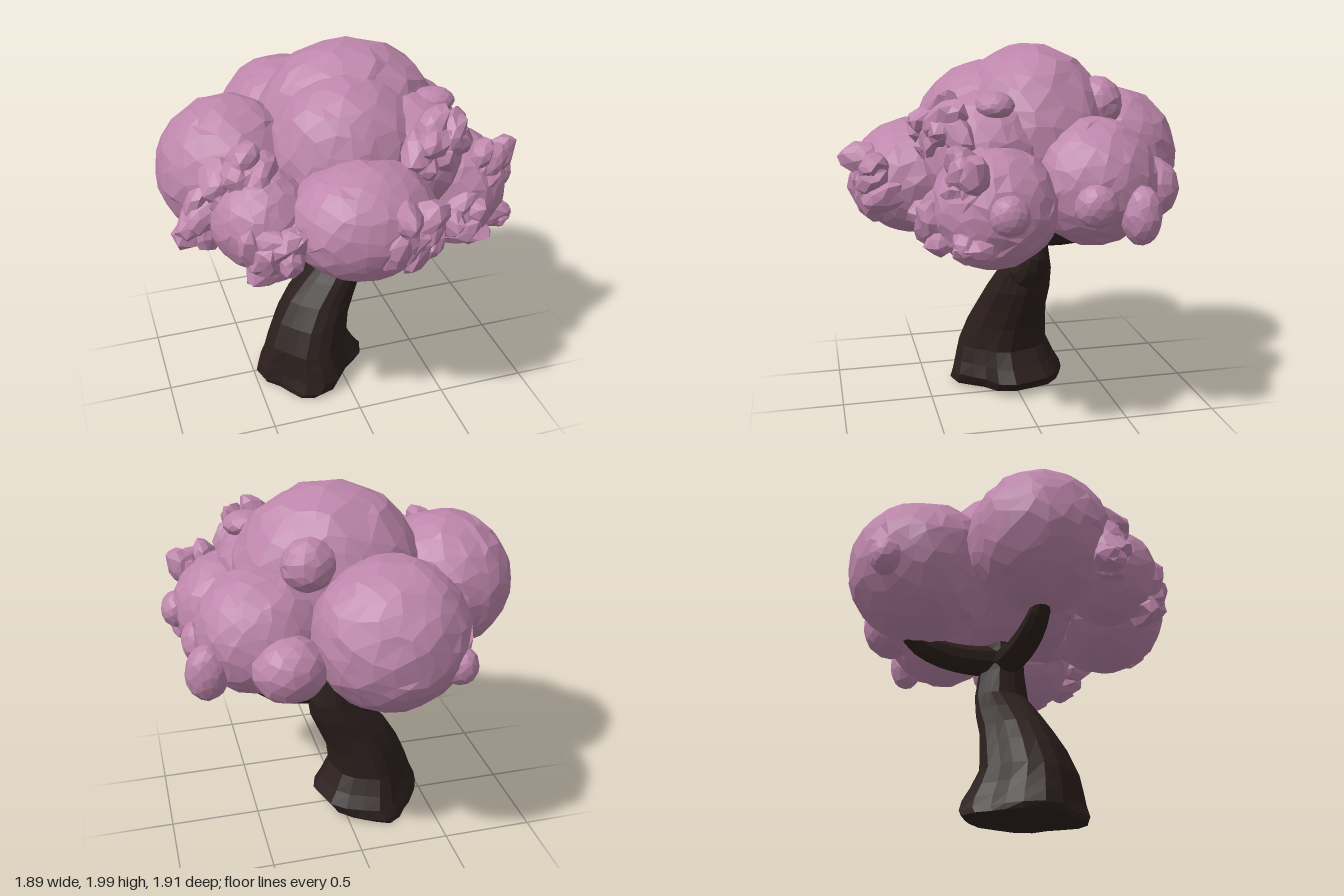
import * as THREE from 'three';

const foliage = new THREE.MeshStandardMaterial({ color: 0xbd86ab, flatShading: true });
foliage.name = 'pink foliage';
const bark = new THREE.MeshStandardMaterial({ color: 0x2b1f1d, flatShading: true });
bark.name = 'dark bark';

// Repeatable noise in -1..1 from a position, so shared corners move together
function noise(x, y, z, seed) {
  const r = (v) => Math.round(v * 1000) / 1000 + 0;
  const s = Math.sin(r(x) * 127.1 + r(y) * 311.7 + r(z) * 74.7 + seed * 19.19) * 4375.85;
  return (s - Math.floor(s)) * 2 - 1;
}

// Faceted ball with irregular corners
function blob(name, [x, y, z], [rx, ry, rz], detail, jitter, seed) {
  const geo = new THREE.IcosahedronGeometry(1, detail);
  const pos = geo.attributes.position;
  const v = new THREE.Vector3();
  for (let i = 0; i < pos.count; i++) {
    v.fromBufferAttribute(pos, i);
    const n = [0, 1, 2].map((k) => noise(v.x, v.y, v.z, seed + k * 7));
    const swell = 1 + n[0] * jitter * 0.25;
    v.add(new THREE.Vector3(...n).multiplyScalar(jitter));
    if (detail > 1) v.normalize().multiplyScalar(swell);
    pos.setXYZ(i, v.x, v.y, v.z);
  }
  geo.scale(rx, ry, rz);
  geo.computeVertexNormals();
  const mesh = new THREE.Mesh(geo, foliage);
  mesh.name = name;
  mesh.position.set(x, y, z);
  return mesh;
}

// Trunk: rings given as [y, xMin, xMax, zMin, zMax, ridge depth]
function makeTrunk() {
  const rings = [
    [0.01, -0.47, 0.02, -0.3, 0.35, 0.18],
    [0.04, -0.49, 0.1, -0.31, 0.37, 0.2],
    [0.1, -0.48, 0.15, -0.29, 0.36, 0.2],
    [0.17, -0.45, 0.1, -0.25, 0.34, 0.17],
    [0.26, -0.42, 0.05, -0.21, 0.31, 0.1],
    [0.4, -0.36, 0.07, -0.2, 0.26, 0.07],
    [0.52, -0.29, 0.12, -0.19, 0.21, 0.06],
    [0.64, -0.18, 0.17, -0.19, 0.17, 0.04],
    [0.76, -0.06, 0.19, -0.18, 0.12, 0.03],
    [0.9, -0.05, 0.18, -0.16, 0.1, 0.03],
    [1.03, -0.05, 0.17, -0.15, 0.09, 0.03],
    [1.1, -0.05, 0.16, -0.15, 0.09, 0],
  ];
  const n = 20, p = [], idx = [];
  rings.forEach(([y, x0, x1, z0, z1, ridge]) => {
    for (let i = 0; i < n; i++) {
      const a = (i / n) * Math.PI * 2;
      // root corners that fade upwards, the back left side fuller, plus fine ridges
      const hollow = ridge * (0.5 - 0.5 * Math.cos(4 * a)) * (1 - Math.max(0, Math.cos(a + Math.PI / 4)) ** 2);
      const k = (1 - hollow) * (1 + 0.025 * Math.sin(7 * a + y * 2));
      p.push((x0 + x1) / 2 + (Math.cos(a) * k * (x1 - x0)) / 2, y, (z0 + z1) / 2 + (Math.sin(a) * k * (z1 - z0)) / 2);
    }
  });
  for (let r = 0; r < rings.length - 1; r++) {
    for (let i = 0; i < n; i++) {
      const a = r * n + i, b = r * n + ((i + 1) % n);
      idx.push(a, a + n, b, b, a + n, b + n);
    }
  }
  // end caps
  const top = (rings.length - 1) * n;
  for (let i = 1; i < n - 1; i++) idx.push(0, i, i + 1, top, top + i + 1, top + i);
  const geo = new THREE.BufferGeometry();
  geo.setAttribute('position', new THREE.Float32BufferAttribute(p, 3));
  geo.setIndex(idx);
  const flat = geo.toNonIndexed();
  flat.computeVertexNormals();
  const mesh = new THREE.Mesh(flat, bark);
  mesh.name = 'trunk';
  return mesh;
}

// Upturned limb narrowing towards its tip
function makeBranch(name, points, radius) {
  const curve = new THREE.CatmullRomCurve3(points.map((q) => new THREE.Vector3(...q)));
  const steps = 10, sides = 9;
  const geo = new THREE.TubeGeometry(curve, steps, radius, sides);
  const pos = geo.attributes.position, v = new THREE.Vector3();
  for (let i = 0; i < pos.count; i++) {
    const t = Math.floor(i / (sides + 1)) / steps;
    const c = curve.getPointAt(t);
    v.fromBufferAttribute(pos, i).sub(c).multiplyScalar(1 - 0.3 * t - 0.68 * t ** 8).add(c);
    pos.setXYZ(i, v.x, v.y, v.z);
  }
  const flat = geo.toNonIndexed();
  flat.computeVertexNormals();
  const mesh = new THREE.Mesh(flat, bark);
  mesh.name = name;
  return mesh;
}

export function createModel() {
  const tree = new THREE.Group();
  tree.name = 'blossomTree';

  tree.add(makeTrunk());
  tree.add(makeBranch('leftBranch', [[0.08, 0.81, 0], [0.24, 0.8, 0.01], [0.4, 0.85, 0.01], [0.5, 0.95, 0.01], [0.54, 1.1, 0.01]], 0.09));
  tree.add(makeBranch('rightBranch', [[0.05, 0.98, -0.02], [-0.18, 0.95, -0.01], [-0.4, 0.97, 0], [-0.55, 1.03, 0], [-0.63, 1.13, 0]], 0.085));
  tree.add(makeBranch('backBranch', [[0.05, 0.98, -0.05], [0.03, 0.96, -0.25], [0, 0.97, -0.42], [-0.03, 1.03, -0.56], [-0.04, 1.15, -0.62]], 0.09));

  // Large crown lobes: centre, radii
  const lobes = [
    ['crownCentre', [0.08, 1.52, -0.04], [0.5, 0.48, 0.43]],
    ['crownFront', [0, 1.5, 0.19], [0.41, 0.41, 0.37]],
    ['crownBack', [-0.12, 1.37, -0.53], [0.41, 0.385, 0.41]],
    ['crownRight', [-0.57, 1.4, -0.01], [0.38, 0.38, 0.38]],
    ['crownLeft', [0.48, 1.34, -0.28], [0.34, 0.33, 0.33]],
    ['lowerLeft', [0.56, 1.25, 0.24], [0.32, 0.31, 0.32]],
    ['lowerFront', [-0.03, 1.31, 0.56], [0.38, 0.31, 0.34]],
    ['lowerRight', [-0.5, 1.3, 0.4], [0.26, 0.26, 0.26]],
    ['upperLeft', [0.3, 1.45, 0.23], [0.33, 0.34, 0.33]],
  ];
  lobes.forEach(([name, c, r], i) => tree.add(blob(name, c, r, 4, 0.08, i + 1)));

  // Small rounded buds
  const buds = [
    [[0.4, 1.27, -0.6], [0.19, 0.17, 0.17]],
    [[0.25, 1.7, -0.37], [0.14, 0.14, 0.13]],
    [[-0.4, 1.28, -0.78], [0.09, 0.1, 0.09]],
    [[0.86, 1.27, 0.23], [0.08, 0.1, 0.1]],
    [[0.79, 1.28, -0.21], [0.09, 0.11, 0.11]],
    [[0.78, 1.22, -0.44], [0.11, 0.15, 0.1]],
    [[0.46, 1.73, 0.22], [0.12, 0.07, 0.1]],
  ];
  buds.forEach(([c, r], i) => tree.add(blob('bud', c, r, 2, 0.1, i + 20)));

  // Crumpled leaf clumps: centre, spread, number of leaves, leaf size
  const clumps = [
    ['upperLeftClump', [0.4, 1.62, 0.46], [0.17, 0.08, 0.1], 8, 0.105],
    ['sideLeftClump', [0.69, 1.41, 0.41], [0.11, 0.08, 0.08], 6, 0.1],
    ['lowLeftClump', [0.54, 1.17, 0.52], [0.09, 0.09, 0.07], 6, 0.105],
    ['outerLeftClump', [0.78, 1.12, 0.4], [0.05, 0.04, 0.08], 2, 0.09],
    ['frontClump', [0.15, 1.31, 0.8], [0.13, 0.13, 0.1], 8, 0.105],
    ['frontRightClump', [-0.49, 1.22, 0.6], [0.11, 0.12, 0.07], 8, 0.11],
    ['upperRightClump', [-0.58, 1.51, 0.36], [0.15, 0.08, 0.08], 8, 0.11],
    ['sideRightClump', [-0.79, 1.28, 0.29], [0.05, 0.09, 0.06], 5, 0.1],
  ];
  clumps.forEach(([name, c, s, count, size], k) => {
    const group = new THREE.Group();
    group.name = name;
    for (let i = 0; i < count; i++) {
      const a = i * 2.4 + k, d = Math.sqrt((i + 0.5) / count);
      // leaves spiral outwards over the clump and follow the crown's curve
      const at = [c[0] + s[0] * d * Math.cos(a), c[1] + s[1] * d * Math.sin(a),
        c[2] + s[2] * (0.3 * noise(i, k, 2, 3) + 0.4 - 0.6 * d - 0.5 * Math.cos(a) * d * Math.sign(c[0]))];
      const leaf = blob('leaf', at, [size * 1.25, size * 0.85, size * 0.7], 1, 0.13, k * 10 + i + 50);
      leaf.rotation.set(i * 1.3, i * 0.7, i * 2.1 + k);
      group.add(leaf);
    }
    tree.add(group);
  });

  return tree;
}
